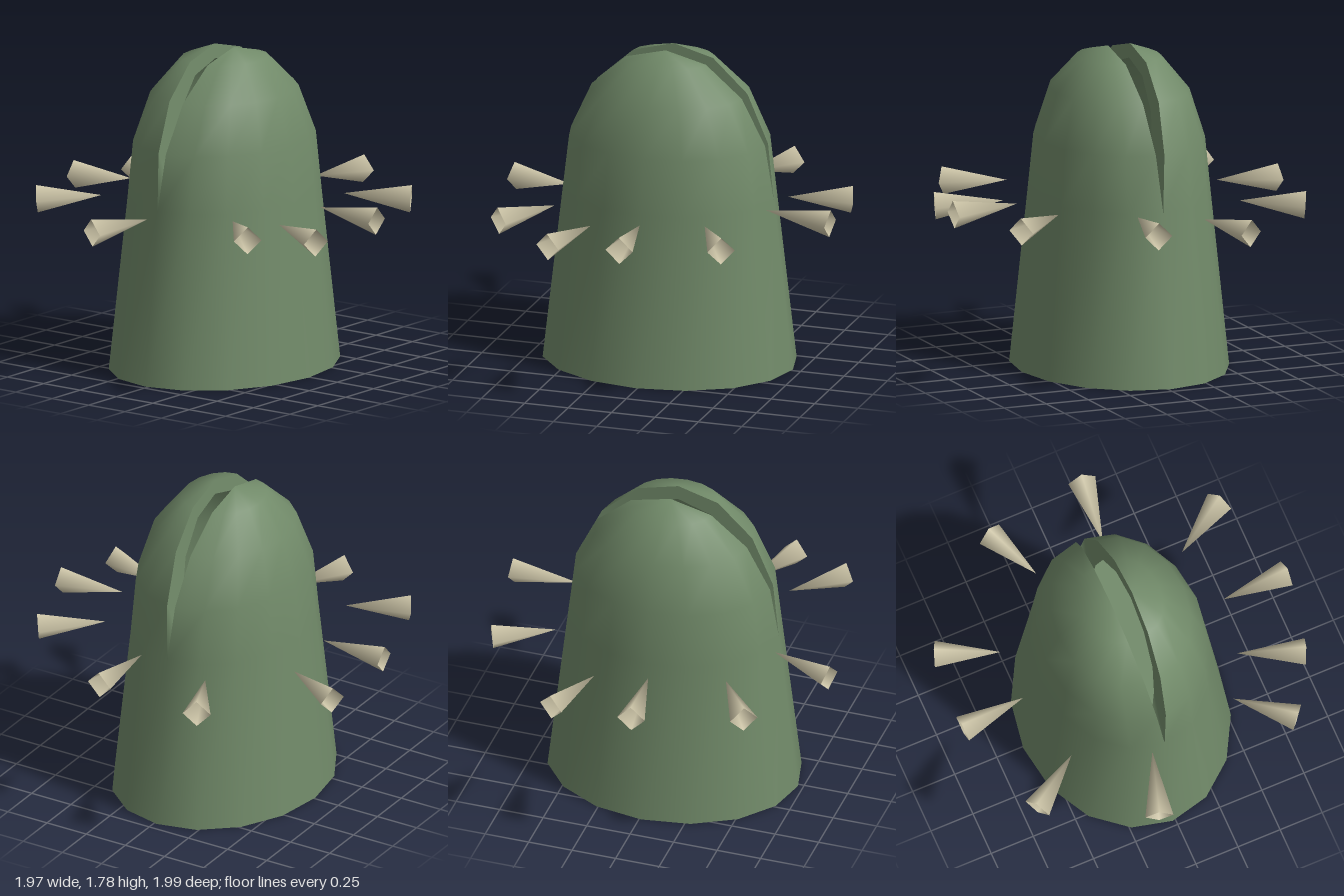
import * as THREE from 'three';
import { mergeGeometries, mergeVertices } from 'three/addons/utils/BufferGeometryUtils.js';

const HINGE = 0.96; // height where the slit starts

// Half width of the slit at a height
const gap = (y) => 0.08 * Math.max(0, y - HINGE);

// Surface through equally long rows of [x, y, z] points
function grid(rows) {
  const n = rows[0].length;
  const index = [];
  for (let i = 0; i < rows.length - 1; i++) {
    for (let j = 0; j < n - 1; j++) {
      const a = i * n + j, c = a + n;
      index.push(a, a + 1, c + 1, a, c + 1, c);
    }
  }
  const geo = new THREE.BufferGeometry();
  geo.setAttribute('position', new THREE.Float32BufferAttribute(rows.flat(2), 3));
  geo.setIndex(index);
  return geo;
}

// The front half and its copy turned to the back, with shared smooth normals
function bothHalves(half) {
  const geo = mergeVertices(mergeGeometries([half, half.clone().rotateY(Math.PI)]), 1e-4);
  geo.computeVertexNormals();
  return geo;
}

export function createModel() {
  const model = new THREE.Group();
  const green = new THREE.MeshStandardMaterial({ color: 0x718a69, side: THREE.DoubleSide });
  green.name = 'moss green';
  const bone = new THREE.MeshStandardMaterial({ color: 0xd2caac, side: THREE.DoubleSide });
  bone.name = 'bone';

  const shell = new THREE.Group();
  shell.name = 'shell';
  shell.position.set(-0.01, 0, -0.017);
  model.add(shell);
  const addToShell = (name, geo) => {
    const mesh = new THREE.Mesh(geo, green);
    mesh.name = name;
    shell.add(mesh);
  };

  // Tapered oval body and split dome, open below: height, half width, half depth
  const rings = [
    [0, 0.71, 0.58],
    [HINGE, 0.6, 0.482],
    [1.275, 0.558, 0.45],
    [1.54, 0.432, 0.37],
    [1.72, 0.23, 0.225],
    [1.78, 0, gap(1.78)],
  ];
  const half = grid(rings.map(([y, w, d]) => Array.from({ length: 9 }, (_, j) => {
    const t = (j / 8) * Math.PI;
    return [-w * Math.cos(t), y, gap(y) + (d - gap(y)) * Math.sin(t)];
  })));
  addToShell('bodyAndDome', bothHalves(half));

  // Thick cut faces on both sides of the slit
  const arch = (pts) => [
    ...pts.map(([x, y]) => [-x, y, gap(y)]),
    ...pts.slice(0, -1).reverse().map(([x, y]) => [x, y, gap(y)]),
  ];
  const outer = rings.slice(1).map(([y, w]) => [w, y]);
  const inner = [[0.42, HINGE], [0.4, 1.25], [0.34, 1.47], [0.19, 1.64], [0, 1.7]];
  addToShell('slitFaces', bothHalves(grid([arch(outer), arch(inner)])));

  // Floor inside, just below the slit
  const floor = new THREE.CircleGeometry(0.6, 16);
  floor.rotateX(-Math.PI / 2).scale(1, 1, 0.8).translate(0, HINGE - 0.01, 0);
  addToShell('innerFloor', floor);

  // Ring of four-sided spikes, points inward: tip x, z, then outer end x, z, y
  const spikes = [
    [-0.06, -0.62, -0.085, -0.99, 0.93],
    [0.25, -0.62, 0.39, -0.95, 0.88],
    [0.59, -0.26, 0.91, -0.40, 0.88],
    [0.60, 0.14, 0.98, 0.18, 0.93],
    [0.37, 0.51, 0.57, 0.82, 0.93],
    [0.03, 0.61, 0.04, 0.99, 0.93],
    [-0.27, 0.56, -0.40, 0.91, 0.88],
    [-0.52, 0.43, -0.75, 0.71, 0.93],
    [-0.61, -0.09, -0.96, -0.20, 0.88],
    [-0.47, -0.51, -0.67, -0.80, 0.93],
  ];
  // Open hollow spike with smooth normals shared at the point
  const cone = new THREE.ConeGeometry(0.077, 0.38, 4, 1, true);
  cone.deleteAttribute('uv');
  cone.deleteAttribute('normal');
  const spikeGeo = mergeVertices(cone.rotateX(-Math.PI / 2), 1e-4);
  spikeGeo.computeVertexNormals();
  spikes.forEach(([tx, tz, bx, bz, by], i) => {
    const tip = new THREE.Vector3(tx, by + 0.025, tz);
    const end = new THREE.Vector3(bx, by, bz);
    const spike = new THREE.Mesh(spikeGeo, bone);
    spike.name = `spike${i + 1}`;
    spike.position.copy(tip).lerp(end, 0.5);
    spike.scale.z = tip.distanceTo(end) / 0.38;
    spike.lookAt(end);
    model.add(spike);
  });

  return model;
}
